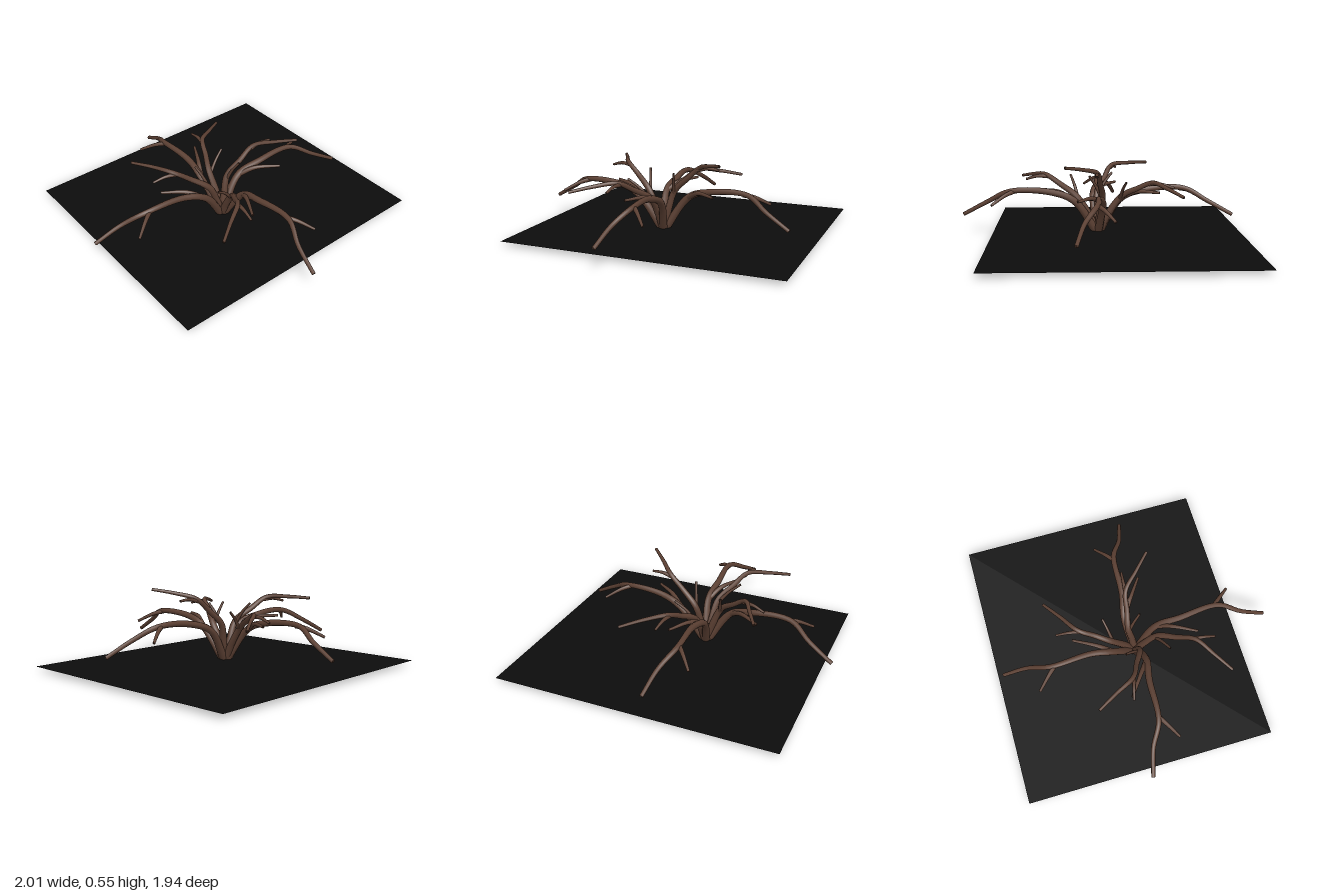
import * as THREE from 'three';

const SIDES = 8;
const STEM = new THREE.Vector3(-0.07, 0, 0.02);
const vec = p => new THREE.Vector3(...p);

// Tapered tube along a smooth path, both ends closed flat, kept above y = 0
function limb(points, r0, r1) {
  const curve = new THREE.CatmullRomCurve3(points);
  const n = points.length * 6;
  const geo = new THREE.TubeGeometry(curve, n, 1, SIDES, false);
  const pos = geo.attributes.position;
  const v = new THREE.Vector3();
  for (let i = 0; i <= n; i++) {
    const centre = curve.getPointAt(i / n);
    const end = i <= 1 ? points[0] : i >= n - 1 ? points.at(-1) : centre;
    const r = i === 0 || i === n ? 0 : THREE.MathUtils.lerp(r0, r1, i / n);
    for (let j = 0; j <= SIDES; j++) {
      const k = i * (SIDES + 1) + j;
      v.fromBufferAttribute(pos, k).sub(centre).multiplyScalar(r).add(end);
      pos.setXYZ(k, v.x, Math.max(0, v.y), v.z);
    }
  }
  return geo;
}

// Point part way between two others, raised a little to arch the limb
function between(a, b, t, lift) {
  const p = a.clone().lerp(b, t);
  p.y += lift;
  return p;
}

export function createModel() {
  const model = new THREE.Group();
  model.name = 'branchPlant';
  const bark = new THREE.MeshStandardMaterial({ color: 0x5c4033 });
  bark.name = 'bark brown';
  const black = new THREE.MeshStandardMaterial({ color: 0x0c0c0c, side: THREE.DoubleSide });
  black.name = 'ground black';

  const add = (parent, name, points, r0, r1) => {
    const mesh = new THREE.Mesh(limb(points, r0, r1), bark);
    mesh.name = name;
    parent.add(mesh);
  };

  // Flat ground sheet
  const sheet = new THREE.Mesh(new THREE.PlaneGeometry(1.92, 1.72).rotateX(-Math.PI / 2), black);
  sheet.name = 'groundSheet';
  sheet.position.set(0.04, 0.03, -0.11);
  model.add(sheet);

  // Four long arching branches turned about the stem
  const arch = [[0, 0, 0], [0.17, 0.25, -0.03], [0.33, 0.31, 0], [0.61, 0.32, 0.02],
    [0.76, 0.24, 0.1], [0.93, 0.145, 0.15]].map(vec);
  const outerTip = vec([0.74, 0.245, -0.09]);
  const innerTip = vec([0.41, 0.31, 0.14]);
  for (const angle of [0, 83, 180, 263]) {
    const branch = new THREE.Group();
    branch.name = 'longBranch';
    branch.position.copy(STEM);
    branch.rotation.y = -THREE.MathUtils.degToRad(angle);
    add(branch, 'mainLimb', arch, 0.029, 0.013);
    const fork = between(arch[2], arch[3], 0.9, 0);
    add(branch, 'outerFork', [fork, between(fork, outerTip, 0.4, 0.01), outerTip], 0.017, 0.009);
    add(branch, 'innerFork', [arch[1], between(arch[1], innerTip, 0.4, 0.03), innerTip], 0.02, 0.009);
    model.add(branch);
  }

  // Four raised branches: knee, elbow and tip of the limb, then tips of fork and twig
  const raised = {
    frontLeft: [[0, 0.29, -0.01], [0.2, 0.475, 0.03], [0.41, 0.54, 0.24], [0.34, 0.47, 0.04], [0.03, 0.43, 0.08]],
    backLeft: [[-0.05, 0.28, -0.15], [0.05, 0.385, -0.35], [0.32, 0.33, -0.53], [0.07, 0.35, -0.5], [0.08, 0.39, -0.17]],
    backRight: [[-0.18, 0.29, 0.02], [-0.39, 0.45, -0.09], [-0.54, 0.45, -0.36], [-0.53, 0.415, -0.125], [-0.215, 0.42, -0.085]],
    frontRight: [[-0.1, 0.27, 0.17], [-0.24, 0.405, 0.39], [-0.5, 0.36, 0.57], [-0.245, 0.37, 0.53], [-0.25, 0.4, 0.21]],
  };
  for (const [name, points] of Object.entries(raised)) {
    const [knee, elbow, tip, forkTip, twigTip] = points.map(vec);
    const branch = new THREE.Group();
    branch.name = name + 'Branch';
    add(branch, 'mainLimb', [STEM, between(STEM, knee, 0.45, 0.03), knee,
      between(knee, elbow, 0.5, 0.005), elbow, between(elbow, tip, 0.5, 0.007), tip], 0.028, 0.01);
    const fork = between(knee, elbow, 0.9, 0);
    add(branch, 'fork', [fork, between(fork, forkTip, 0.5, 0.012), forkTip], 0.015, 0.008);
    const bud = between(STEM, knee, 0.9, 0);
    add(branch, 'twig', [bud, between(bud, twigTip, 0.5, 0.015), twigTip], 0.013, 0.008);
    model.add(branch);
  }
  return model;
}
